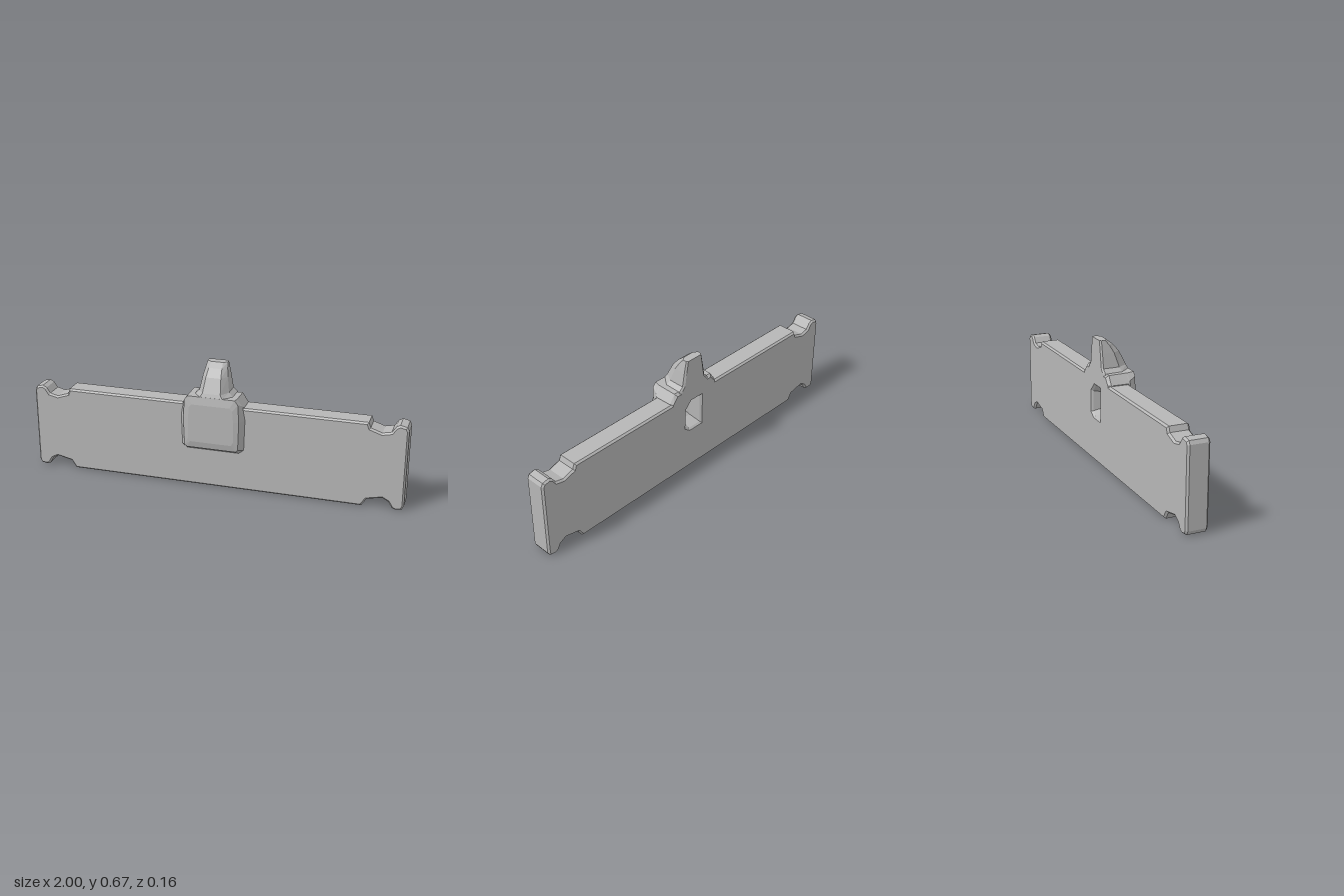
import * as THREE from 'three';

// Skin a list of equal-length rings of [x, y, z] points, with optional end caps
function loft(rings, capStart, capEnd) {
  const n = rings[0].length, index = [];
  for (let r = 0; r < rings.length - 1; r++) {
    for (let i = 0; i < n; i++) {
      const a = r * n + i, b = r * n + (i + 1) % n;
      index.push(a, b, b + n, a, b + n, a + n);
    }
  }
  const last = (rings.length - 1) * n;
  for (let i = 1; i < n - 1; i++) {
    if (capStart) index.push(0, i + 1, i);
    if (capEnd) index.push(last, last + i, last + i + 1);
  }
  const geo = new THREE.BufferGeometry();
  geo.setAttribute('position', new THREE.Float32BufferAttribute(rings.flat(2), 3));
  geo.setIndex(index);
  const flat = geo.toNonIndexed();
  flat.computeVertexNormals();
  return flat;
}

// Mirror a right-hand half outline (bottom to top) into a closed ring at depth z
function mirrorRing(half, z) {
  const right = half.map(([x, y]) => [x, y, z]);
  const left = half.slice().reverse().map(([x, y]) => [-x, y, z]);
  return [...right, ...left];
}

export function createModel() {
  const model = new THREE.Group();
  model.name = 'plankWithCatch';
  const grey = new THREE.MeshStandardMaterial({ color: 0xb6b6b6, flatShading: true, side: THREE.DoubleSide });
  grey.name = 'grey';
  const add = (name, geo) => {
    const mesh = new THREE.Mesh(geo, grey);
    mesh.name = name;
    model.add(mesh);
  };

  // Plank: long board with worn notches near both ends
  const half = [
    [0.785, 0.005], [0.81, 0.045], [0.89, 0.062], [0.92, 0.045], [0.94, 0.012], [0.96, 0.005],
    [0.99, 0.01], [1, 0.03], [1, 0.44], [0.99, 0.458], [0.955, 0.466], [0.935, 0.455],
    [0.915, 0.425], [0.87, 0.415], [0.81, 0.435], [0.8, 0.463],
  ];
  const outline = new THREE.Shape(mirrorRing(half, 0).map(([x, y]) => new THREE.Vector2(x, y)));
  const pitOutline = [[-0.05, 0.25], [0.03, 0.25], [0.058, 0.27], [0.058, 0.38], [0.02, 0.42], [-0.05, 0.42]];
  outline.holes.push(new THREE.Path(pitOutline.map(([x, y]) => new THREE.Vector2(x, y))));
  const plank = new THREE.ExtrudeGeometry(outline, {
    depth: 0.095, bevelEnabled: true, bevelSegments: 1,
    bevelSize: 0.009, bevelThickness: 0.01, bevelOffset: -0.009,
  });
  plank.translate(0, 0, -0.07);
  add('plank', plank);

  // Tapered pit in the back of the plank
  const pitRing = (z, s) => pitOutline.map(([x, y]) => [x * s, 0.335 + (y - 0.335) * s, z]);
  add('backPit', loft([pitRing(-0.07, 1), pitRing(-0.01, 0.75), pitRing(0.02, 0.45)], false, true));

  // Raised block on the front, with bevelled sides
  add('frontBlock', loft([
    mirrorRing([[0.14, 0.215], [0.165, 0.235], [0.17, 0.4], [0.155, 0.475], [0.13, 0.515]], 0.028),
    mirrorRing([[0.14, 0.215], [0.165, 0.235], [0.17, 0.4], [0.155, 0.48], [0.13, 0.515]], 0.04),
    mirrorRing([[0.13, 0.235], [0.143, 0.245], [0.148, 0.4], [0.142, 0.495], [0.125, 0.517]], 0.074),
    mirrorRing([[0.11, 0.27], [0.12, 0.29], [0.12, 0.4], [0.115, 0.46], [0.1, 0.475]], 0.082),
  ], false, true));

  // Shoulders running back over the top of the plank
  add('shoulder', loft([
    mirrorRing([[0.15, 0.44], [0.15, 0.465], [0.12, 0.5]], -0.08),
    mirrorRing([[0.16, 0.44], [0.16, 0.467], [0.13, 0.513]], -0.065),
    mirrorRing([[0.16, 0.44], [0.162, 0.467], [0.13, 0.515]], 0.035),
  ], true, false));

  // Knob: tapering upward, front curving back to the top
  const knobRing = ([y, w, front]) => {
    const side = -0.08 + (front + 0.08) * 0.65;
    return [[-w * 0.85, y, -0.08], [-w, y, -0.072], [-w, y, side], [-w * 0.6, y, front],
      [w * 0.6, y, front], [w, y, side], [w, y, -0.072], [w * 0.85, y, -0.08]];
  };
  add('knob', loft([
    [0.47, 0.12, 0.076], [0.515, 0.1, 0.074], [0.535, 0.079, 0.066],
    [0.61, 0.066, 0.03], [0.65, 0.058, -0.005], [0.675, 0.053, -0.036],
  ].map(knobRing), false, true));

  return model;
}
